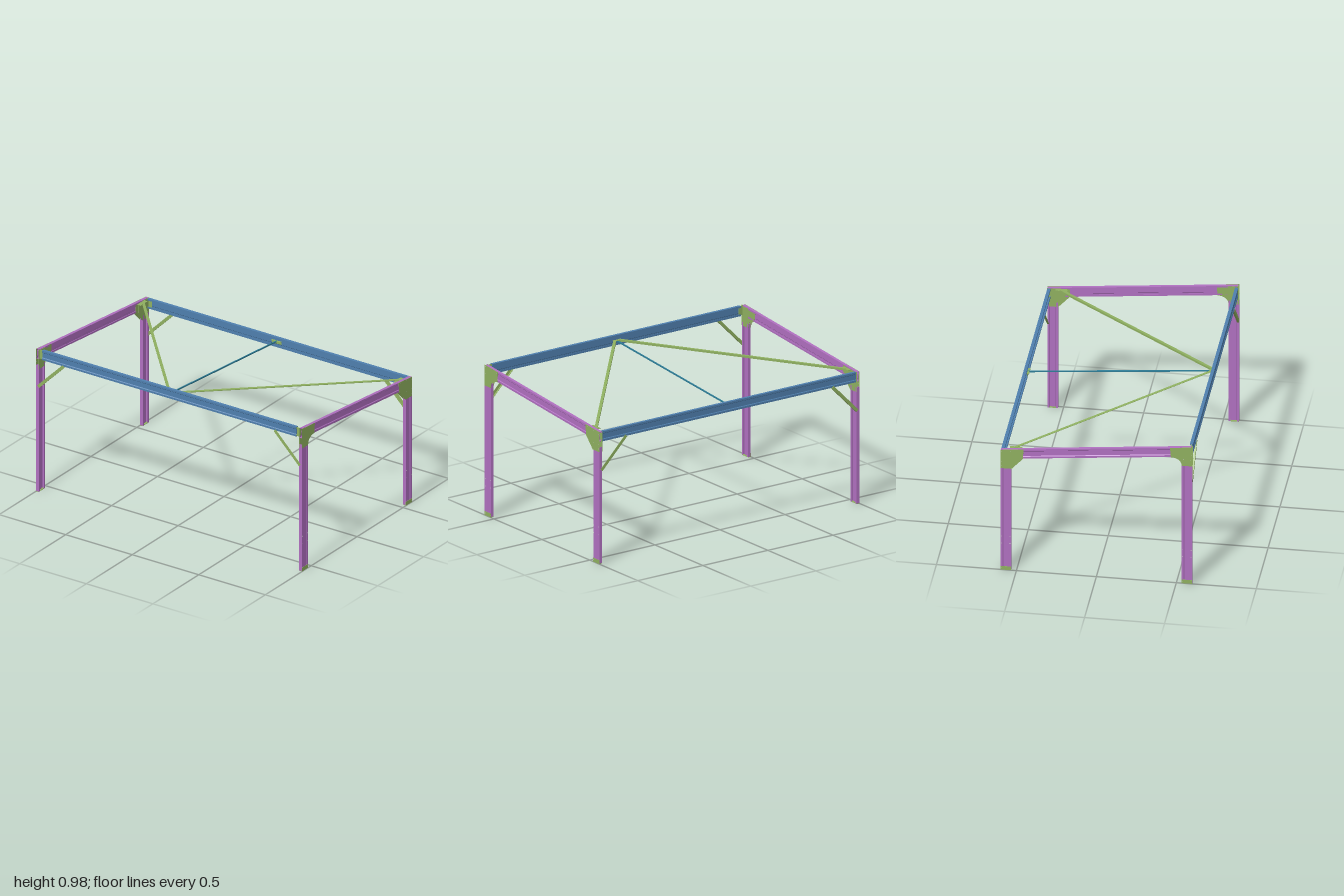
import * as THREE from 'three';

const V = (x, y, z) => new THREE.Vector3(x, y, z);
const mat = (color) => new THREE.MeshStandardMaterial({ color, flatShading: true });

export function createModel() {
  const model = new THREE.Group();
  const purple = mat(0xb070c0), green = mat(0x8fb060), blue = mat(0x4f7fae);
  const teal = mat(0x2f7f99), grey = mat(0xcccccc);

  const add = (name, geo, material) => {
    const mesh = new THREE.Mesh(geo, material);
    mesh.name = name;
    model.add(mesh);
    return mesh;
  };
  const box = (name, size, pos, material = green) =>
    add(name, new THREE.BoxGeometry(...size), material).position.set(...pos);

  // Lipped channel section with a recessed band along the web
  const half = [
    [0.016, 0.004], [0.02, 0], [0.0325, 0], [0.0325, 0.02], [0.021, 0.02],
    [0.021, 0.018], [0.0305, 0.018], [0.0305, 0.002], [0.0208, 0.002], [0.0168, 0.006],
  ];
  const outline = [...half, ...half.map(([u, v]) => [-u, v]).reverse()];
  const section = new THREE.Shape(outline.map(([u, v]) => new THREE.Vector2(u, v)));

  // Channel from a to b, its web facing the outward direction
  const channel = (name, a, b, outward, material) => {
    const dir = b.clone().sub(a);
    const depth = dir.length();
    dir.normalize();
    const v = outward.clone().negate();
    const u = v.clone().cross(dir);
    const geo = new THREE.ExtrudeGeometry(section, { depth, bevelEnabled: false });
    geo.applyMatrix4(new THREE.Matrix4().makeBasis(u, v, dir).setPosition(a));
    add(name, geo, material);
  };

  // Straight bar from a to b; w is across, t is along the given normal
  const bar = (name, a, b, normal, w, t, material = green, du = 0, dn = 0) => {
    const dir = b.clone().sub(a);
    const len = dir.length();
    dir.normalize();
    const u = normal.clone().cross(dir).normalize();
    const n = dir.clone().cross(u);
    const geo = new THREE.BoxGeometry(w, t, len);
    geo.translate(du, dn, 0);
    const mid = a.clone().add(b).multiplyScalar(0.5);
    geo.applyMatrix4(new THREE.Matrix4().makeBasis(u, n, dir).setPosition(mid));
    add(name, geo, material);
  };

  // Corner plate drawn in (z, y), 2 mm-like thin, centred on x
  const sidePlate = (name, shape, x) => {
    const geo = new THREE.ExtrudeGeometry(shape, { depth: 0.002, bevelEnabled: false, curveSegments: 10 });
    const basis = new THREE.Matrix4().makeBasis(V(0, 0, 1), V(0, 1, 0), V(-1, 0, 0));
    geo.applyMatrix4(basis.setPosition(x + 0.001, 0, 0));
    add(name, geo, green);
  };

  const bolt = (x, y, z) => {
    const geo = new THREE.CylinderGeometry(0.003, 0.003, 0.002, 8).rotateZ(Math.PI / 2);
    add('bolt', geo, grey).position.set(x, y, z);
  };

  // Corner plate outlines: rounded inner corner in front, cut corner at the back
  const frontGusset = new THREE.Shape();
  frontGusset.moveTo(0.6, 0.845);
  frontGusset.lineTo(0.6, 0.98);
  frontGusset.lineTo(0.46, 0.966);
  frontGusset.lineTo(0.466, 0.9);
  frontGusset.bezierCurveTo(0.505, 0.9, 0.533, 0.88, 0.533, 0.845);
  const backGusset = new THREE.Shape(
    [[-0.6, 0.73], [-0.53, 0.73], [-0.46, 0.806], [-0.455, 0.8745], [-0.6, 0.86]].map((p) => new THREE.Vector2(...p)));

  for (const s of [1, -1]) {
    const out = V(s, 0, 0);
    // Posts with their feet, and the sloping rafter
    for (const [side, z, top] of [['front', 0.566, 0.87], ['back', -0.566, 0.76]]) {
      channel(side + 'Post', V(s * 0.998, 0.002, z), V(s * 0.998, top, z), out, purple);
      box('footPlate', [0.002, 0.025, 0.066], [s * 0.999, 0.0125, z]);
      box('footBase', [0.02, 0.003, 0.066], [s * 0.99, 0.0015, z]);
      for (const dz of [-0.026, 0.026]) {
        for (const y of [0.19, 0.24]) bolt(s * 0.998, y, z + dz);
        bolt(s * 0.999, 0.014, z + dz);
      }
    }
    channel('rafter', V(s * 0.998, 0.947, 0.595), V(s * 0.998, 0.828, -0.595), out, purple);

    // Corner plates on both faces of the frame
    for (const x of [0.999, 0.979]) {
      sidePlate('frontGusset', frontGusset, s * x);
      sidePlate('backGusset', backGusset, s * x);
    }
    for (const [y, z] of [[0.97, 0.54], [0.97, 0.59], [0.925, 0.592], [0.89, 0.592], [0.89, 0.545], [0.955, 0.47],
      [0.862, -0.475], [0.855, -0.54], [0.845, -0.592], [0.81, -0.54], [0.78, -0.54], [0.78, -0.592], [0.75, -0.592]])
      bolt(s * 0.999, y, z);

    // Angle brackets that hold the beam ends
    box('frontBracketWeb', [0.03, 0.06, 0.003], [s * 0.963, 0.947, 0.59]);
    box('frontBracketSide', [0.003, 0.06, 0.06], [s * 0.976, 0.942, 0.562]);
    box('backBracketWeb', [0.03, 0.06, 0.003], [s * 0.963, 0.828, -0.59]);
    box('backBracketSide', [0.003, 0.06, 0.11], [s * 0.976, 0.83, -0.54]);
    box('diagonalBracket', [0.027, 0.003, 0.075], [s * 0.963, 0.862, -0.508]);

    // Knee braces: a flat strip with a turned edge
    for (const [f, y] of [[1, 0.73], [-1, 0.614]]) {
      const a = V(s * 0.983, y - 0.005, f * 0.599), b = V(s * 0.793, y + 0.185, f * 0.599);
      const n = V(0, 0, f);
      bar('kneeBrace', a, b, n, 0.02, 0.002);
      bar('kneeBraceEdge', a, b, n, 0.002, 0.012, green, s * f * 0.009, -0.006);
    }

    // Roof diagonals meeting at the middle of the front beam
    const a = V(s * 0.018, 0.951, 0.572), b = V(s * 0.963, 0.865, -0.515);
    bar('roofDiagonal', a, b, V(0, 1, 0), 0.018, 0.002);
    bar('roofDiagonalEdge', a, b, V(0, 1, 0), 0.002, 0.012, green, s * 0.008, -0.006);
  }

  // Cross beams
  channel('frontBeam', V(-0.955, 0.947, 0.598), V(0.955, 0.947, 0.598), V(0, 0, 1), blue);
  channel('backBeam', V(-0.975, 0.828, -0.598), V(0.975, 0.828, -0.598), V(0, 0, -1), blue);

  // Middle tie with its end plates
  bar('middleTie', V(0, 0.944, 0.58), V(0, 0.838, -0.58), V(0, 1, 0), 0.008, 0.008, teal);
  box('tieFrontPlate', [0.06, 0.003, 0.02], [0, 0.948, 0.571]);
  box('tieBackPlate', [0.07, 0.02, 0.003], [0, 0.832, -0.576]);
  box('tieBackShelf', [0.07, 0.003, 0.014], [0, 0.841, -0.571]);

  return model;
}
